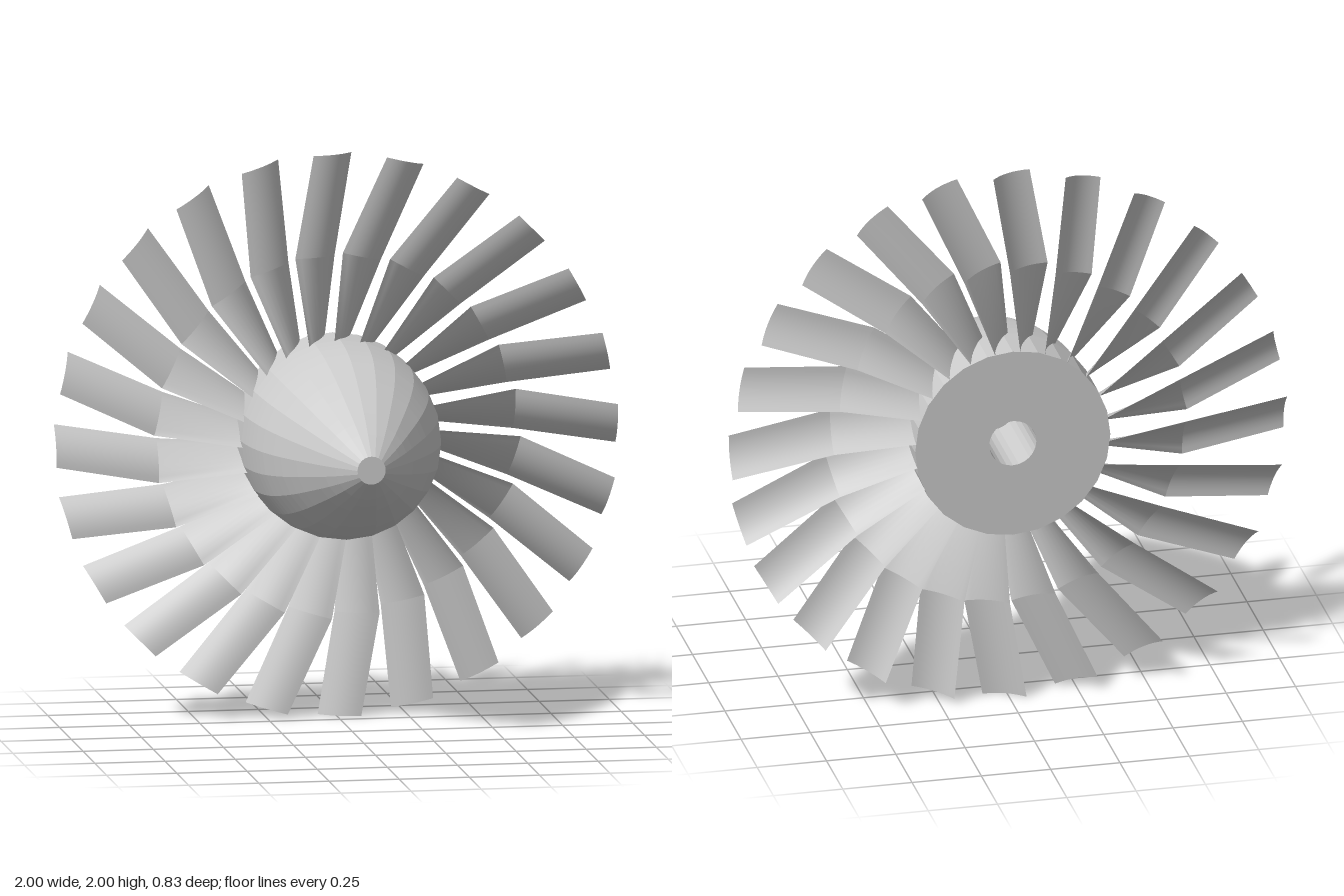
import * as THREE from 'three';

const BLADES = 24, CHORD_STEPS = 8;
const grey = new THREE.MeshStandardMaterial({ color: 0xcccccc, flatShading: true });
const thin = new THREE.MeshStandardMaterial({ color: 0xcccccc, side: THREE.DoubleSide });

// Blade stations: radius, then leading and trailing edge as [x, z], and forward bow
const root = { r: 0.325, lead: [-0.11, -0.245], trail: [-0.03, -0.415], bow: 0.012 };
const knee = { r: 0.635, lead: [-0.15, -0.31], trail: [0.0, -0.372], bow: 0.018 };
const tip = { r: 1.0, lead: [-0.085, -0.31], trail: [0.06, -0.372], bow: 0.018 };

// Point on a station's curved chord, t = 0 leading edge, 1 trailing edge
function chordPoint({ r, lead, trail, bow }, t) {
  const dx = trail[0] - lead[0], dz = trail[1] - lead[1], len = Math.hypot(dx, dz);
  const b = 4 * bow * t * (1 - t);
  return [lead[0] + dx * t - (dz / len) * b, r, lead[1] + dz * t + (dx / len) * b];
}

// Curved sheet spanning two stations
function panel(inner, outer) {
  const pos = [], idx = [];
  for (let i = 0; i <= CHORD_STEPS; i++) {
    const t = i / CHORD_STEPS;
    pos.push(...chordPoint(inner, t), ...chordPoint(outer, t));
    if (i < CHORD_STEPS) {
      const a = i * 2;
      idx.push(a, a + 2, a + 1, a + 2, a + 3, a + 1);
    }
  }
  const g = new THREE.BufferGeometry();
  g.setAttribute('position', new THREE.Float32BufferAttribute(pos, 3));
  g.setIndex(idx);
  g.computeVertexNormals();
  return g;
}

function addMesh(parent, name, geometry, material) {
  const mesh = new THREE.Mesh(geometry, material);
  mesh.name = name;
  parent.add(mesh);
  return mesh;
}

export function createModel() {
  const model = new THREE.Group();
  model.name = 'turbineFan';
  const rotor = new THREE.Group();
  rotor.name = 'rotor';
  rotor.position.y = 1;
  model.add(rotor);

  // Spinner: bullet nose, flat back and blind shaft hole
  const nose = new THREE.SplineCurve([
    [0.352, -0.25], [0.345, -0.17], [0.33, -0.08], [0.307, 0], [0.265, 0.1],
    [0.208, 0.2], [0.137, 0.31], [0.05, 0.415],
  ].map(([r, z]) => new THREE.Vector2(r, z))).getPoints(18);
  const v = (r, z) => new THREE.Vector2(r, z);
  const profile = [v(0, -0.1), v(0.085, -0.1), v(0.085, -0.415), v(0.352, -0.415), ...nose, v(0, 0.415)];
  const spinner = new THREE.LatheGeometry(profile, 24);
  spinner.rotateX(Math.PI / 2);
  addMesh(rotor, 'spinner', spinner, grey);

  // Blades: twisted root and curved outer part, repeated around the hub
  const rootGeo = panel(root, knee), outerGeo = panel(knee, tip);
  for (let i = 0; i < BLADES; i++) {
    const blade = new THREE.Group();
    blade.name = 'blade';
    blade.rotation.z = (i / BLADES) * Math.PI * 2;
    addMesh(blade, 'bladeRoot', rootGeo, thin);
    addMesh(blade, 'bladeOuter', outerGeo, thin);
    rotor.add(blade);
  }
  return model;
}
